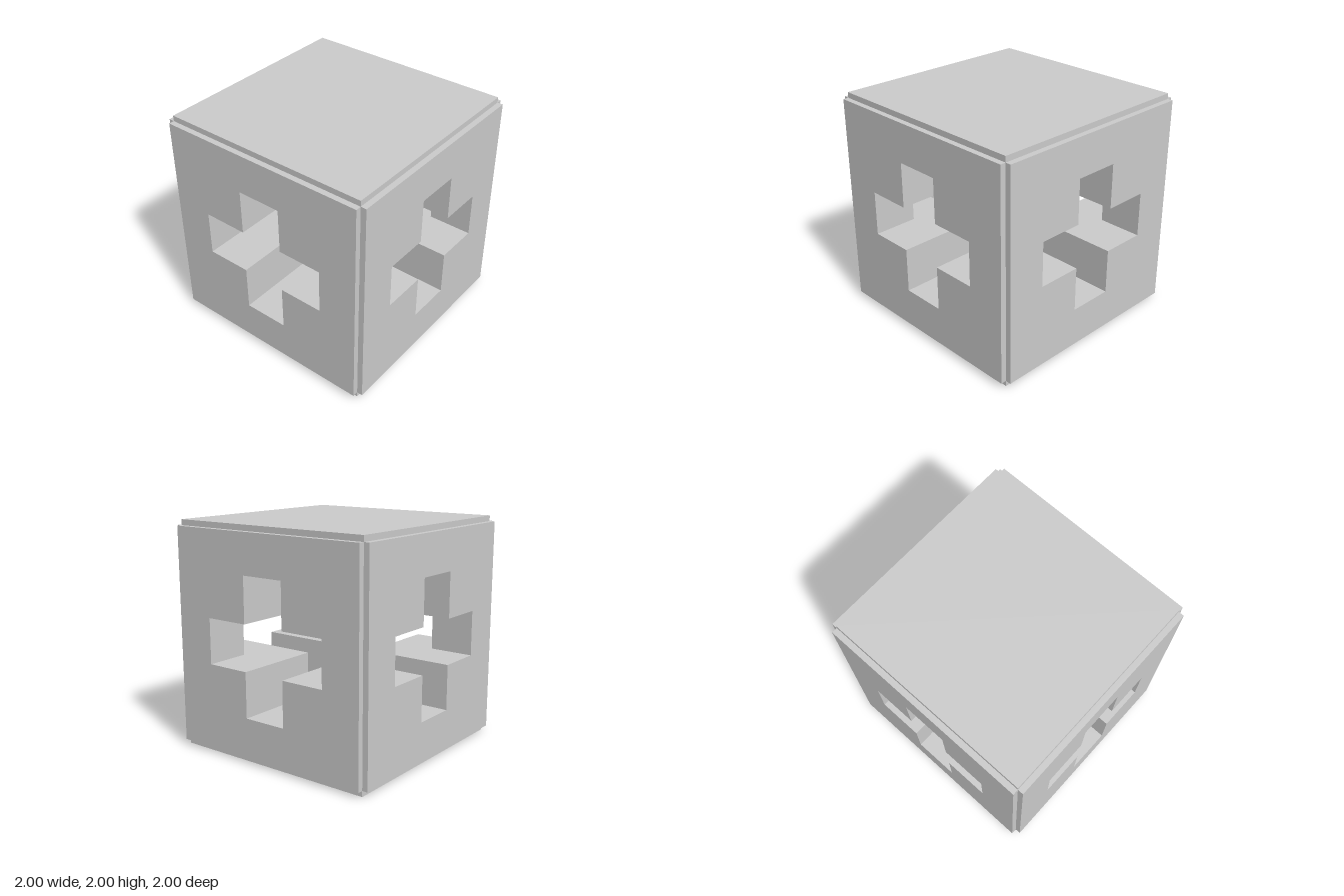
import * as THREE from 'three';

const HALF = 1;     // half size of the cube
const STEP = 0.05;  // rebate along every edge
const A = 0.2;      // half width of a cross arm
const B = 0.6;      // reach of a cross arm
const PANEL = HALF - STEP;
const Q = Math.PI / 2;

const material = new THREE.MeshStandardMaterial({ color: 0xcccccc, flatShading: true });

function add(parent, name, geometry) {
  const mesh = new THREE.Mesh(geometry, material);
  mesh.name = name;
  parent.add(mesh);
  return mesh;
}

const points = (list) => list.map(([x, y]) => new THREE.Vector2(x, y));

// Plus outline with arms of half width a reaching to r
const plus = (a, r) => points([
  [a, r], [-a, r], [-a, a], [-r, a], [-r, -a], [-a, -a],
  [-a, -r], [a, -r], [a, -a], [r, -a], [r, a], [a, a],
]);

// One raised face of the cube, facing +z, with its four narrow rims
function createPanel(name, hasCross) {
  const panel = new THREE.Group();
  panel.name = name;
  const square = new THREE.Shape(points([[-PANEL, -PANEL], [PANEL, -PANEL], [PANEL, PANEL], [-PANEL, PANEL]]));
  if (hasCross) square.holes.push(new THREE.Path(plus(A, B)));
  add(panel, 'panelFace', new THREE.ShapeGeometry(square).translate(0, 0, HALF));
  for (let i = 0; i < 4; i++) {
    const rim = new THREE.PlaneGeometry(STEP, 2 * PANEL)
      .rotateY(Q).translate(PANEL, 0, HALF - STEP / 2).rotateZ(i * Q);
    add(panel, 'panelRim', rim);
  }
  return panel;
}

// Upright tunnel wall at x, facing the tunnel's middle, from z = |x| out to the face
function createWall(x, y) {
  const depth = HALF - Math.abs(x);
  return new THREE.PlaneGeometry(depth, 2 * A)
    .rotateY(-Math.sign(x) * Q).translate(x, y, HALF - depth / 2);
}

// Walls and ledges of one tunnel arm, opening at +z
function createTunnelArm(name) {
  const arm = new THREE.Group();
  arm.name = name;
  const corner = new THREE.Shape(points([[A, A], [HALF, A], [HALF, B], [B, B], [B, HALF], [A, HALF]]));
  for (const side of [-1, 1]) {
    add(arm, 'outerWall', createWall(side * B, 0));
    add(arm, 'innerWall', createWall(side * A, side * 2 * A));
    add(arm, 'innerWall', createWall(side * A, -side * 2 * A));
    // L-shaped ledge: floor below, ceiling above
    add(arm, side < 0 ? 'ledgeFloor' : 'ledgeCeiling',
      new THREE.ShapeGeometry(corner).rotateX(side * Q).translate(0, side * A, 0));
  }
  return arm;
}

export function createModel() {
  const model = new THREE.Group();
  model.name = 'hollowCrossCube';
  const body = new THREE.Group();
  body.name = 'body';
  body.position.y = HALF;
  model.add(body);

  // Four pierced sides and the tunnel arms behind them
  ['front', 'left', 'back', 'right'].forEach((name, i) => {
    const panel = createPanel(name + 'Panel', true);
    const arm = createTunnelArm(name + 'Tunnel');
    panel.rotation.y = arm.rotation.y = i * Q;
    body.add(panel, arm);
  });

  // Solid top and bottom panels, and the lowest floor and highest ceiling
  for (const side of [-1, 1]) {
    const panel = createPanel(side > 0 ? 'topPanel' : 'bottomPanel', false);
    panel.rotation.x = -side * Q;
    body.add(panel);
    add(body, side > 0 ? 'tunnelCeiling' : 'tunnelFloor',
      new THREE.ShapeGeometry(new THREE.Shape(plus(A, HALF))).rotateX(side * Q).translate(0, side * B, 0));
  }
  return model;
}
